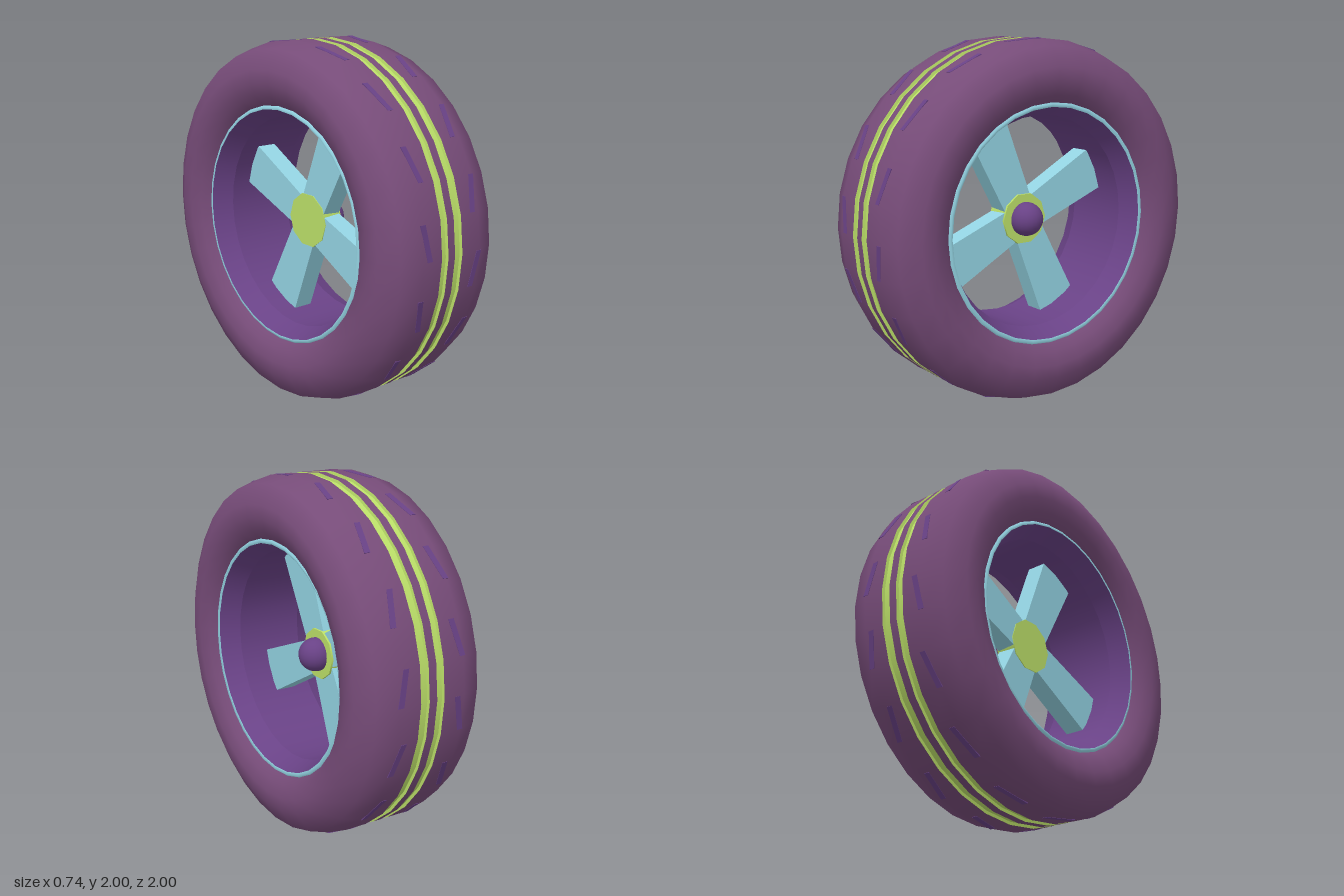
import * as THREE from 'three';
import { mergeGeometries } from 'three/addons/utils/BufferGeometryUtils.js';

const SIDES = 32;
const mat = (name, color) => Object.assign(new THREE.MeshStandardMaterial({ color }), { name });

// Profile points are [x along the axle, radius]
function revolve(points) {
  const g = new THREE.LatheGeometry(points.map(([x, r]) => new THREE.Vector2(r, x)), SIDES);
  return g.rotateZ(-Math.PI / 2);
}

// Same, with a sharp edge at each profile point
function revolveSharp(points) {
  return mergeGeometries(points.slice(1).map((p, i) => revolve([points[i], p])));
}

export function createModel() {
  const model = new THREE.Group();
  model.name = 'wheel';
  const wheel = new THREE.Group();
  wheel.name = 'wheelBody';
  wheel.position.y = 1;
  model.add(wheel);

  const tireMat = mat('tire plum', 0x774c79);
  const rimMat = mat('rim purple', 0x694286);
  const tealMat = mat('pale teal', 0x93d3e2);
  const limeMat = mat('lime', 0xbce069);

  const add = (name, geometry, material, parent = wheel) => {
    const m = new THREE.Mesh(geometry, material);
    m.name = name;
    parent.add(m);
    return m;
  };

  // Tire: two shoulders with sidewalls and a centre tread band
  const shoulder = [[0.073, 1], [0.2, 1], [0.315, 0.963], [0.372, 0.855], [0.372, 0.78], [0.35, 0.705], [0.305, 0.66]];
  const mirrored = shoulder.map(([x, r]) => [-x, r]).reverse();
  add('leftShoulder', revolve(shoulder), tireMat);
  add('rightShoulder', revolve(mirrored), tireMat);
  add('centreTread', revolve([[-0.027, 1], [0.02, 1]]), tireMat);

  // Recessed grooves either side of the centre band
  for (const [a, b] of [[-0.073, -0.027], [0.02, 0.073]]) {
    add('groove', revolveSharp([[a, 1], [a + 0.003, 0.984], [b - 0.003, 0.984], [b, 1]]), limeMat);
  }

  // Slanted tread slits, one on every second facet, staggered left to right
  const slitGeometry = (slant) => {
    const g = new THREE.BoxGeometry(0.034, 0.19, 0.006);
    const p = g.attributes.position;
    for (let i = 0; i < p.count; i++) p.setX(i, p.getX(i) + slant * p.getY(i) * 0.2);
    g.computeVertexNormals();
    return g.translate(0, 0, Math.cos(Math.PI / SIDES) - 0.001);
  };
  for (const side of [-1, 1]) {
    const g = slitGeometry(side).translate(side * 0.175, 0, 0);
    for (let k = 0; k < 16; k++) {
      const angle = (k + (side < 0 ? 0.25 : 0.75)) * Math.PI / 8;
      add('treadSlit', g, rimMat).rotation.x = -angle;
    }
  }

  // Rim barrel with flared mouths
  add('rimBarrel', revolveSharp([[0.312, 0.642], [0.2, 0.59], [-0.2, 0.59], [-0.312, 0.642]]), rimMat);

  // Trim rings
  add('leftTrimRing', revolve([[0.305, 0.668], [0.318, 0.656], [0.312, 0.64]]), tealMat);
  add('rightTrimRing', revolve([[-0.312, 0.64], [-0.314, 0.651], [-0.305, 0.661]]), tealMat);

  // Hub and spokes, slightly off centre
  const hub = new THREE.Group();
  hub.name = 'hub';
  hub.position.set(0, -0.01, -0.022);
  wheel.add(hub);
  add('hubDrum', new THREE.CylinderGeometry(0.146, 0.155, 0.13, 10).rotateZ(-Math.PI / 2).translate(-0.025, 0, 0), limeMat, hub);
  add('hubCap', new THREE.SphereGeometry(0.096, 20, 14).translate(0.055, 0, 0), rimMat, hub);

  // Spokes widen toward the rim
  const spoke = new THREE.BoxGeometry(0.115, 0.54, 1).translate(-0.028, 0.35, 0);
  const sp = spoke.attributes.position;
  for (let i = 0; i < sp.count; i++) sp.setZ(i, sp.getZ(i) * (0.19 + 0.13 * (sp.getY(i) - 0.08)));
  spoke.computeVertexNormals();
  for (let k = 0; k < 4; k++) {
    add('spoke', spoke, tealMat, hub).rotation.x = THREE.MathUtils.degToRad(25 + 90 * k);
  }

  return model;
}
